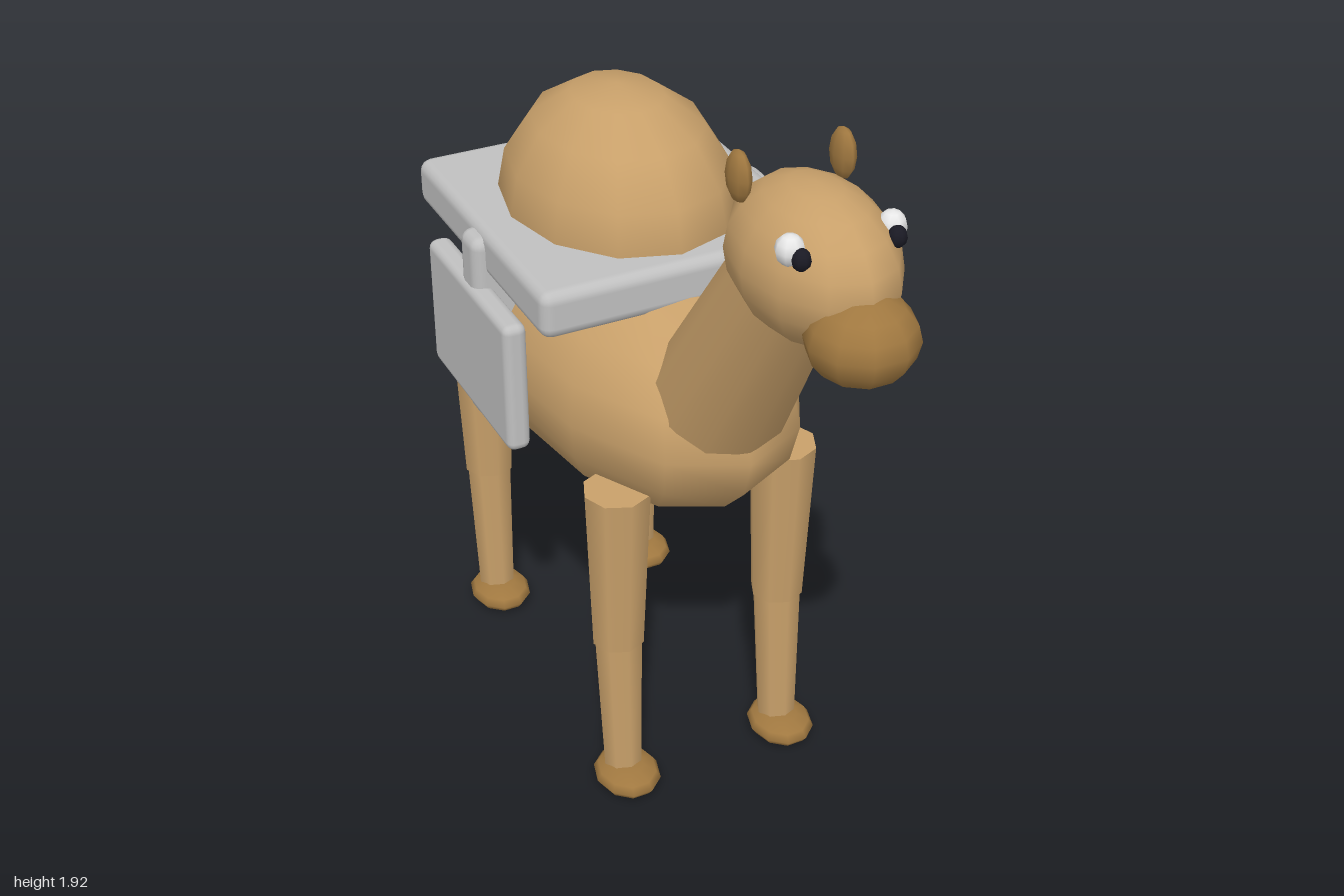
import * as THREE from 'three';
import { RoundedBoxGeometry } from 'three/addons/geometries/RoundedBoxGeometry.js';

const paint = (name, hex) => {
  const m = new THREE.MeshStandardMaterial({ color: hex });
  m.name = name;
  return m;
};

export function createModel() {
  const model = new THREE.Group();
  model.name = 'packCamel';

  const tan = paint('tanFur', 0xc8a06a);
  const brown = paint('darkBrownFur', 0xa07840);
  const grey = paint('greyCloth', 0xc0c0c0);
  const white = paint('eyeWhite', 0xf0f0f0);
  const black = paint('pupilBlack', 0x1a1a24);

  const add = (name, geometry, material, pos = [0, 0, 0]) => {
    const mesh = new THREE.Mesh(geometry, material);
    mesh.name = name;
    mesh.position.set(...pos);
    model.add(mesh);
    return mesh;
  };

  // Low-poly ellipsoid with smooth normals
  const ellipsoid = (name, material, pos, radii, w = 12, h = 8) =>
    add(name, new THREE.SphereGeometry(1, w, h).scale(...radii), material, pos);

  // Tapered cylinder running from point a to point b
  const limb = (name, material, a, b, ra, rb, sides = 8) => {
    const start = new THREE.Vector3(...a);
    const end = new THREE.Vector3(...b);
    const dir = end.clone().sub(start);
    const mesh = add(name, new THREE.CylinderGeometry(rb, ra, dir.length(), sides), material);
    mesh.position.copy(start).add(end).multiplyScalar(0.5);
    mesh.quaternion.setFromUnitVectors(new THREE.Vector3(0, 1, 0), dir.normalize());
    return mesh;
  };

  const roundedBox = (name, size, pos, radius) =>
    add(name, new RoundedBoxGeometry(...size, 2, radius), grey, pos);

  // Torso, hump, neck and head
  ellipsoid('body', tan, [0, 1.05, -0.2], [0.35, 0.33, 0.65], 12, 10);
  ellipsoid('hump', tan, [0, 1.4, -0.25], [0.285, 0.31, 0.35]);
  limb('neck', tan, [0, 1.16, 0.298], [0, 1.66, 0.62], 0.165, 0.125, 10);
  ellipsoid('head', tan, [0, 1.7, 0.68], [0.165, 0.17, 0.238], 12, 10);
  ellipsoid('muzzle', brown, [0, 1.62, 0.88], [0.12, 0.097, 0.12], 10, 8);

  // Tail
  limb('tail', brown, [0, 1.1, -0.905], [0, 0.757, -0.98], 0.025, 0.016, 6);

  // Saddle blanket and girth strap
  roundedBox('saddleBlanket', [0.74, 0.12, 0.79], [0, 1.36, -0.255], 0.03);
  roundedBox('girthStrap', [0.8, 0.5, 0.1], [0, 1.15, -0.25], 0.03);

  for (const [side, s] of [['left', 1], ['right', -1]]) {
    // Saddle bags
    roundedBox(side + 'SaddleBag', [0.06, 0.345, 0.5], [s * 0.38, 1.1, -0.25], 0.022);

    // Ears and eyes
    ellipsoid(side + 'Ear', brown, [s * 0.12, 1.864, 0.58], [0.023, 0.058, 0.041], 8, 6);
    ellipsoid(side + 'Eye', white, [s * 0.115, 1.796, 0.785], [0.032, 0.034, 0.032], 8, 6);
    ellipsoid(side + 'Pupil', black, [s * 0.108, 1.788, 0.818], [0.021, 0.024, 0.021], 8, 6);

    // Legs: [name, hip z, knee z, ankle z, foot z]
    for (const [end, hip, knee, ankle, foot] of [
      ['Front', 0.203, 0.197, 0.217, 0.24],
      ['Back', -0.65, -0.645, -0.63, -0.61],
    ]) {
      const x = s * 0.223;
      limb(side + end + 'UpperLeg', tan, [x, 0.45, knee], [x, 0.9, hip], 0.067, 0.084);
      limb(side + end + 'LowerLeg', tan, [x, 0.05, ankle], [x, 0.455, knee], 0.05, 0.062);
      ellipsoid(side + end + 'Foot', brown, [x, 0.04, foot], [0.083, 0.036, 0.1], 10, 6);
    }
  }

  return model;
}
